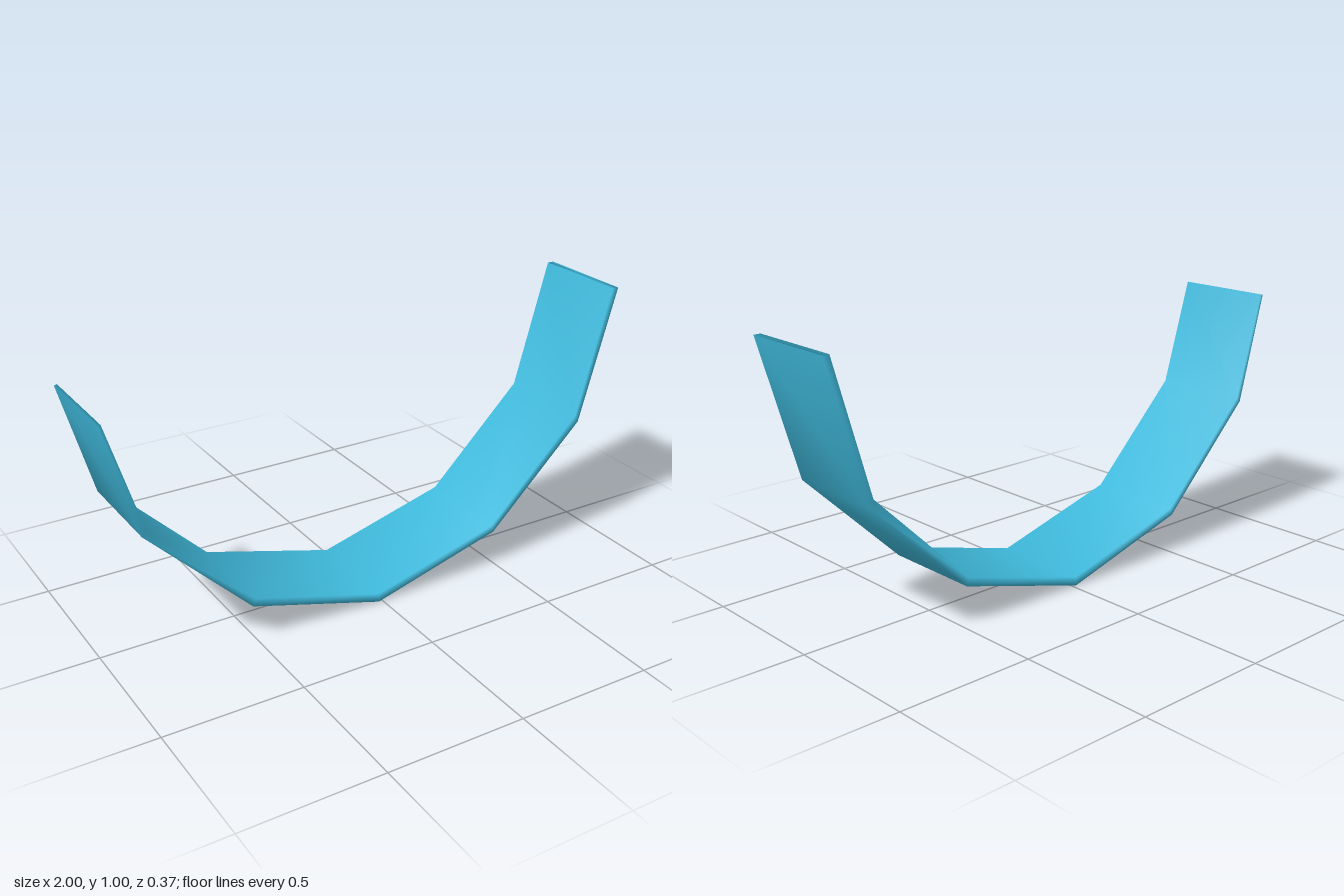
import * as THREE from 'three';

export function createModel() {
  const group = new THREE.Group();
  const blue = new THREE.MeshStandardMaterial({ color: 0x3fb9db });
  blue.name = 'skyBlue';

  // Band profile from right tip to left tip: outer x, y, inner x, y
  const profile = [
    [-1, 0.917, -0.99, 0.92],
    [-0.89, 0.515, -0.872, 0.53],
    [-0.515, 0.142, -0.508, 0.17],
    [-0.015, 0, -0.015, 0.033],
    [0.485, 0.142, 0.477, 0.17],
    [0.857, 0.503, 0.842, 0.53],
    [1, 1, 0.975, 1],
  ];
  const half = 0.185;
  const positions = [];
  const index = [];

  // Four corners at each bend, shared so the shading runs smoothly round the edges
  profile.forEach(([ox, oy, ix, iy], i) => {
    positions.push(ox, oy, half, ox, oy, -half, ix, iy, -half, ix, iy, half);
    if (i === profile.length - 1) return;
    for (let k = 0; k < 4; k++) {
      const a = i * 4 + k;
      const b = i * 4 + ((k + 1) % 4);
      index.push(a, b, a + 4, b, b + 4, a + 4);
    }
  });

  // End caps
  const e = (profile.length - 1) * 4;
  index.push(0, 2, 1, 0, 3, 2, e, e + 1, e + 2, e, e + 2, e + 3);

  const geometry = new THREE.BufferGeometry();
  geometry.setAttribute('position', new THREE.Float32BufferAttribute(positions, 3));
  geometry.setIndex(index);
  geometry.computeVertexNormals();

  const band = new THREE.Mesh(geometry, blue);
  band.name = 'curvedBand';
  group.add(band);
  return group;
}
